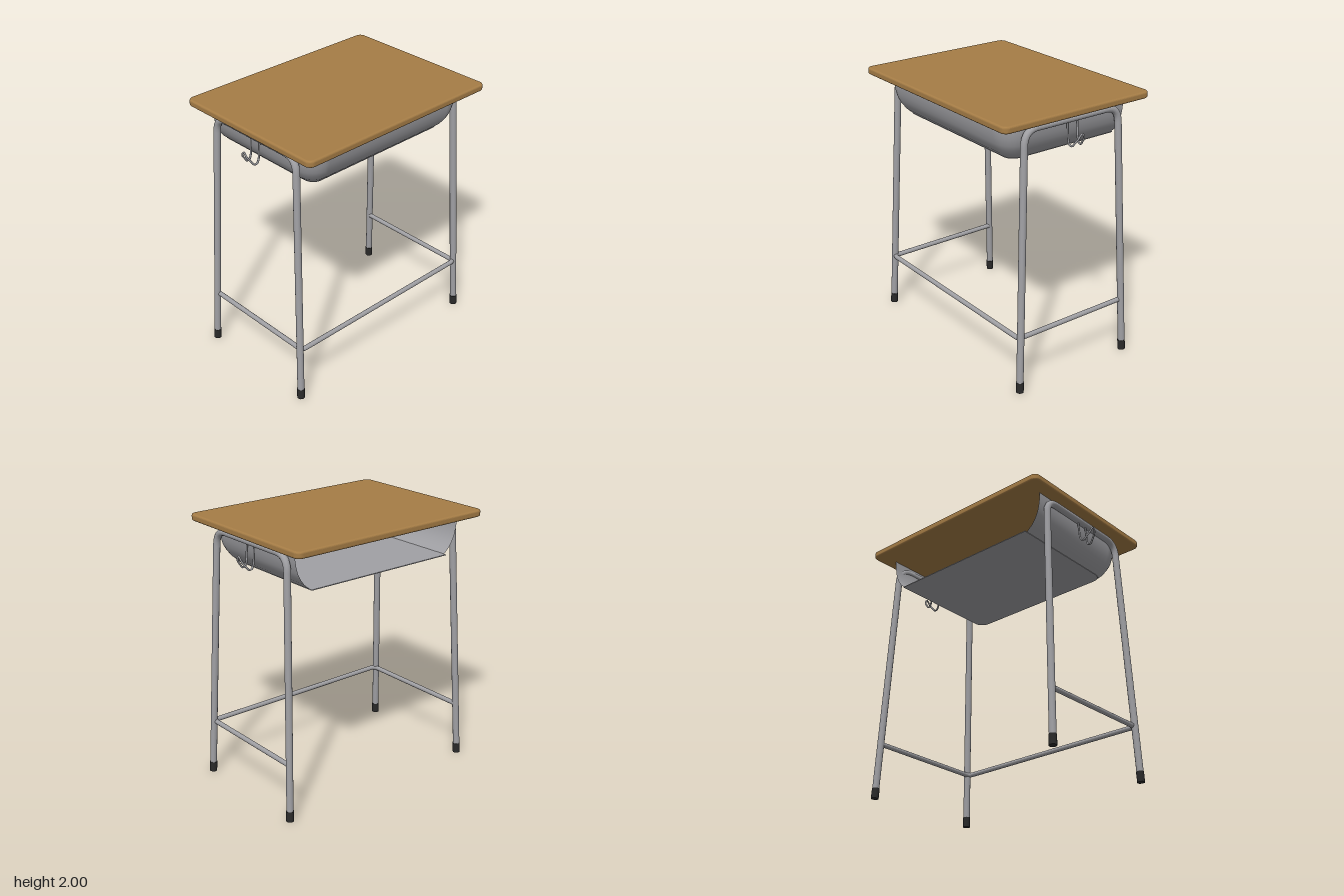
import * as THREE from 'three';

const wood = new THREE.MeshStandardMaterial({ color: 0xa67d46 });
wood.name = 'wood';
const metal = new THREE.MeshStandardMaterial({ color: 0xa0a0a4, side: THREE.DoubleSide });
metal.name = 'grey metal';
const rubber = new THREE.MeshStandardMaterial({ color: 0x2a2a2a });
rubber.name = 'black rubber';

const v = (x, y, z) => new THREE.Vector3(x, y, z);

function add(parent, name, geometry, material) {
  const mesh = new THREE.Mesh(geometry, material);
  mesh.name = name;
  parent.add(mesh);
  return mesh;
}

// Straight runs joined by rounded bends
function bentPath(points, bend) {
  const path = new THREE.CurvePath();
  let from = points[0];
  for (let i = 1; i < points.length - 1; i++) {
    const p = points[i];
    const a = p.clone().add(points[i - 1].clone().sub(p).setLength(bend));
    const b = p.clone().add(points[i + 1].clone().sub(p).setLength(bend));
    path.add(new THREE.LineCurve3(from, a));
    path.add(new THREE.QuadraticBezierCurve3(a, p, b));
    from = b;
  }
  path.add(new THREE.LineCurve3(from, points[points.length - 1]));
  return path;
}

// Board with rounded corners and softened edges
function topGeometry() {
  const bevel = 0.014, r = 0.035, x = 0.84 - bevel, z = 0.63 - bevel;
  const s = new THREE.Shape();
  s.absarc(x - r, z - r, r, 0, Math.PI / 2);
  s.absarc(-x + r, z - r, r, Math.PI / 2, Math.PI);
  s.absarc(-x + r, -z + r, r, Math.PI, Math.PI * 1.5);
  s.absarc(x - r, -z + r, r, Math.PI * 1.5, Math.PI * 2);
  const g = new THREE.ExtrudeGeometry(s, {
    depth: 0.05 - 2 * bevel, bevelThickness: bevel, bevelSize: bevel, bevelSegments: 4, curveSegments: 8,
  });
  return g.rotateX(-Math.PI / 2).translate(0, 1.95 + bevel, 0);
}

// Plan outline of the tray at a given inset: along one side, around the front, back along the other
function trayOutline(inset, back) {
  const x = 0.74 - inset, z = 0.53 - inset, r = 0.17 - inset * 0.8;
  const pts = [[x, back]];
  for (let i = 0; i <= 8; i++) {
    const a = (i / 8) * Math.PI / 2;
    pts.push([x - r + r * Math.cos(a), z - r + r * Math.sin(a)]);
  }
  return pts.concat(pts.map(([px, pz]) => [-px, pz]).reverse());
}

// Curved tray wall, open at the back
function trayWallGeometry() {
  const profile = [[0, 1.952], [0.002, 1.89], [0.01, 1.84], [0.024, 1.79], [0.045, 1.75], [0.075, 1.71], [0.12, 1.67]];
  const positions = [], index = [];
  const n = trayOutline(0, 0).length;
  profile.forEach(([inset, y], row) => {
    trayOutline(inset, -0.47).forEach(([x, z], i) => {
      positions.push(x, y, z);
      if (row && i) {
        const d = row * n + i, c = d - 1, b = d - n, a = b - 1;
        index.push(a, b, c, b, d, c);
      }
    });
  });
  const g = new THREE.BufferGeometry();
  g.setAttribute('position', new THREE.Float32BufferAttribute(positions, 3));
  g.setIndex(index);
  g.computeVertexNormals();
  return g;
}

function trayFloorGeometry() {
  const s = new THREE.Shape(trayOutline(0.12, -0.49).map(([x, z]) => new THREE.Vector2(x, -z)));
  return new THREE.ExtrudeGeometry(s, { depth: 0.006, bevelEnabled: false })
    .rotateX(-Math.PI / 2).translate(0, 1.666, 0);
}

export function createModel() {
  const desk = new THREE.Group();
  desk.name = 'schoolDesk';

  add(desk, 'desktop', topGeometry(), wood);

  const tray = new THREE.Group();
  tray.name = 'bookTray';
  add(tray, 'trayWall', trayWallGeometry(), metal);
  add(tray, 'trayFloor', trayFloorGeometry(), metal);
  desk.add(tray);

  for (const side of [1, -1]) {
    const frame = new THREE.Group();
    frame.name = side > 0 ? 'leftFrame' : 'rightFrame';
    desk.add(frame);

    // Each pair of legs is one bent tube
    const foot = (s) => v(side * 0.829, 0, s * 0.485);
    const shoulder = (s) => v(side * 0.756, 1.913, s * 0.406);
    const legs = bentPath([foot(1), shoulder(1), shoulder(-1), foot(-1)].map((p) => {
      if (p.y === 0) p.y = 0.01;
      return p;
    }), 0.11);
    add(frame, 'legTube', new THREE.TubeGeometry(legs, 160, 0.0255, 14), metal);

    // Rubber feet follow the slant of the legs
    for (const s of [1, -1]) {
      const dir = shoulder(s).sub(foot(s)).normalize();
      const cap = add(frame, s > 0 ? 'frontFoot' : 'backFoot', new THREE.CylinderGeometry(0.028, 0.028, 0.078, 16), rubber);
      cap.quaternion.setFromUnitVectors(v(0, 1, 0), dir);
      cap.position.copy(foot(s)).addScaledVector(dir, 0.04);
    }

    // Bag hook bent from one wire
    const half = [[0.756, 1.905, 0.042], [0.762, 1.82, 0.042], [0.768, 1.765, 0.041], [0.782, 1.737, 0.04],
      [0.803, 1.735, 0.038], [0.822, 1.757, 0.034], [0.85, 1.796, 0.024], [0.856, 1.815, 0.016]];
    const wire = [...half, [0.856, 1.83, 0], ...half.map(([x, y, z]) => [x, y, -z]).reverse()];
    const hook = new THREE.CatmullRomCurve3(wire.map(([x, y, z]) => v(side * x, y, z)));
    add(frame, 'bagHook', new THREE.TubeGeometry(hook, 80, 0.007, 8), metal);
  }

  // Lower brace: one bar bent around the front and both sides
  const brace = bentPath([v(0.806, 0.42, -0.468), v(0.806, 0.42, 0.48), v(-0.806, 0.42, 0.48), v(-0.806, 0.42, -0.468)], 0.04);
  add(desk, 'footBrace', new THREE.TubeGeometry(brace, 240, 0.018, 12), metal);

  return desk;
}
